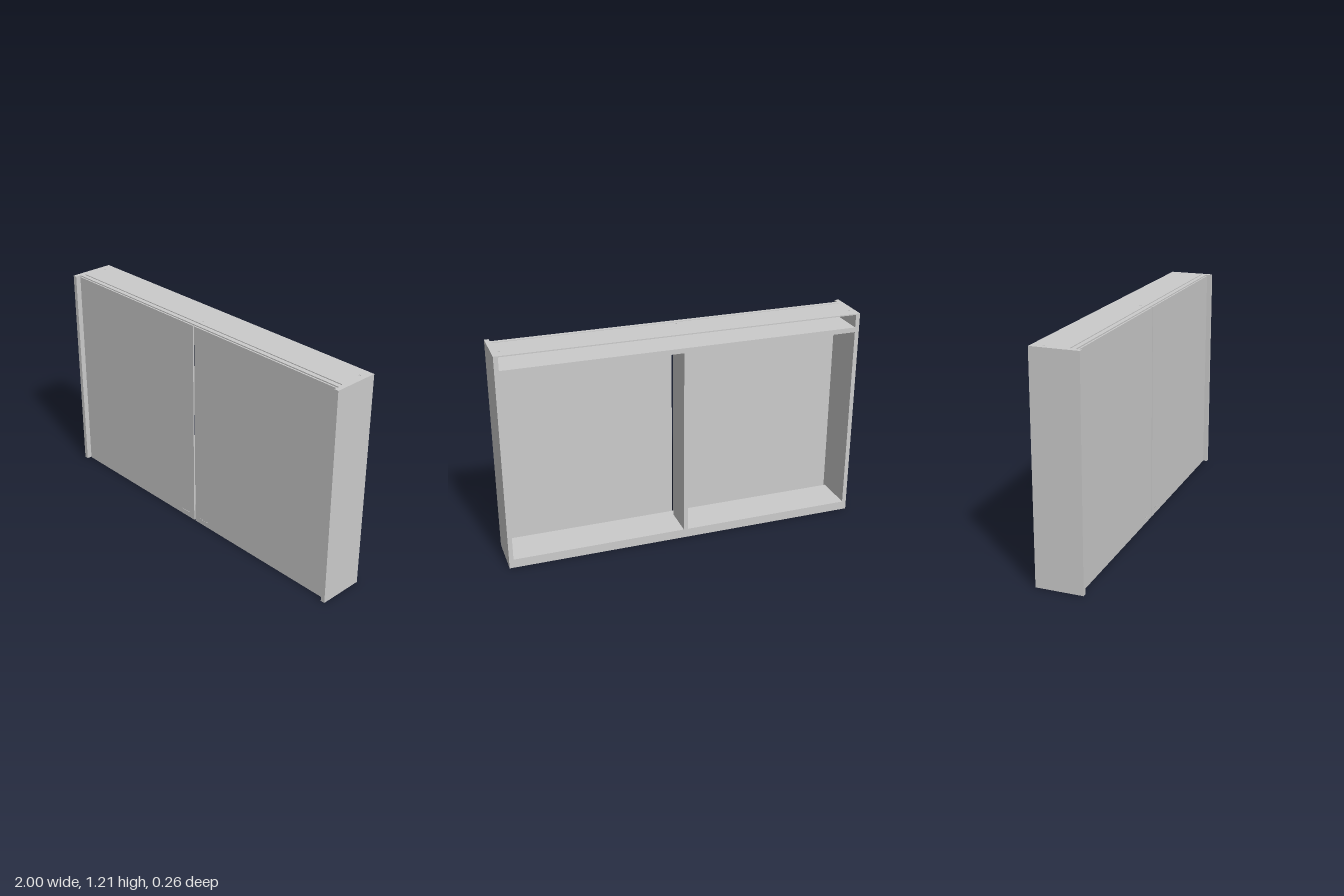
import * as THREE from 'three';

const material = new THREE.MeshStandardMaterial({ color: 0xcccccc });

export function createModel() {
  const model = new THREE.Group();
  model.name = 'cabinet';

  const W = 1, H = 1.21, BACK = -0.128, FRONT = 0.128;
  const T = 0.024;          // board thickness
  const inner = W - T;      // half the inside width
  const doorBack = 0.098;   // rear face of the doors

  function add(name, geometry) {
    const mesh = new THREE.Mesh(geometry, material);
    mesh.name = name;
    model.add(mesh);
    return mesh;
  }

  // Box given by its limits on each axis
  function board(name, x0, x1, y0, y1, z0, z1) {
    const mesh = add(name, new THREE.BoxGeometry(x1 - x0, y1 - y0, z1 - z0));
    mesh.position.set((x0 + x1) / 2, (y0 + y1) / 2, (z0 + z1) / 2);
    return mesh;
  }

  function rect(target, x0, x1, y0, y1) {
    target.moveTo(x0, y0);
    target.lineTo(x1, y0);
    target.lineTo(x1, y1);
    target.lineTo(x0, y1);
    target.closePath();
    return target;
  }

  function roundHole(x, y, r) {
    const hole = new THREE.Path();
    hole.absarc(x, y, r, 0, Math.PI * 2, true);
    return hole;
  }

  const plate = (shape, depth) =>
    new THREE.ExtrudeGeometry(shape, { depth, bevelEnabled: false, curveSegments: 6 });

  // Side walls, standing proud of the doors
  board('rightSide', -W, -inner, 0, H, BACK, FRONT);
  board('leftSide', inner, W, 0, H, BACK, FRONT);

  // Thin top plate with a long slot and three screw holes (shape y = -z)
  const top = rect(new THREE.Shape(), -inner, inner, -0.096, -BACK);
  top.holes.push(rect(new THREE.Path(), -0.97, 0.97, -0.072, -0.065));
  for (const [x, z] of [[-0.962, -0.068], [0.962, -0.068], [0, 0.038]]) {
    top.holes.push(roundHole(x, -z, 0.005));
  }
  const topMesh = add('topPlate', plate(top, 0.006));
  topMesh.rotation.x = -Math.PI / 2;
  topMesh.position.y = H - 0.006;

  // Inner boards: upper shelf, raised floor, back lip and divider
  board('upperShelf', -inner, inner, 1.105, 1.132, BACK, 0.096);
  board('floor', -inner, inner, 0.026, 0.05, BACK, 0.096);
  board('backLip', -inner, inner, 0, 0.026, BACK, BACK + 0.008);
  board('divider', -T / 2, T / 2, 0.05, 1.105, BACK, 0.055);

  // Pair of flat doors with a row of small holes near the bottom
  for (const s of [-1, 1]) {
    const xs = [0.005 * s, 0.966 * s].sort((a, b) => a - b);
    const door = rect(new THREE.Shape(), xs[0], xs[1], 0.003, 1.205);
    for (let i = 0; i < 4; i++) {
      door.holes.push(roundHole(s * (0.05 + i * 0.017), 0.036, 0.003));
    }
    add(s < 0 ? 'rightDoor' : 'leftDoor', plate(door, 0.008)).position.z = doorBack;
  }

  return model;
}
